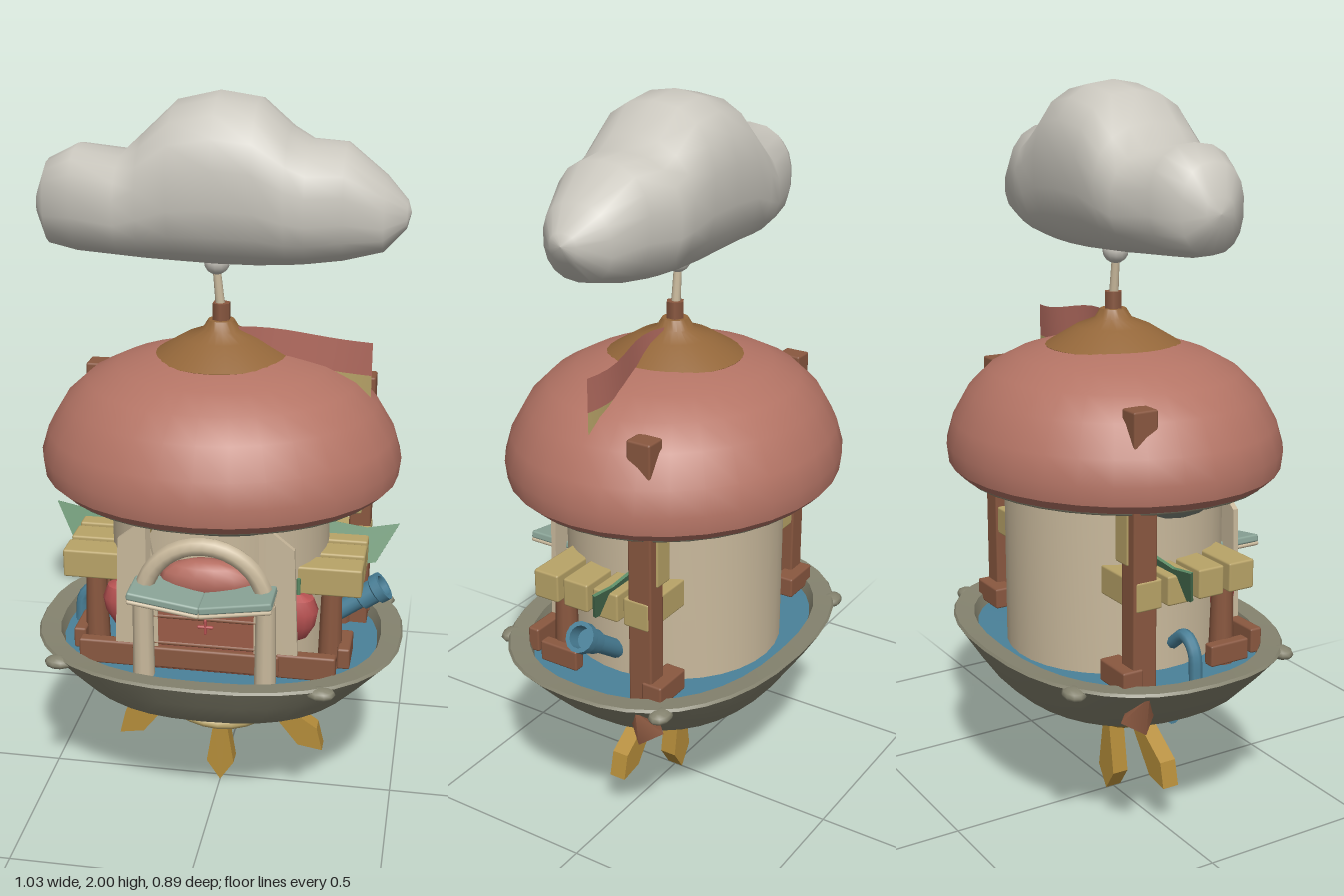
import * as THREE from 'three';
import { toCreasedNormals } from 'three/addons/utils/BufferGeometryUtils.js';
import { RoundedBoxGeometry } from 'three/addons/geometries/RoundedBoxGeometry.js';

const mat = (color, opts = {}) => new THREE.MeshStandardMaterial({ color, ...opts });
const M = {
  roof: mat(0xb47465), cap: mat(0x94673a), wood: mat(0x8a5840), tan: mat(0xb9a468),
  beige: mat(0xc9b99c, { side: THREE.DoubleSide }), hull: mat(0x85836f), dome: mat(0x80877c),
  cloud: mat(0xcac7be), gold: mat(0xb58d3a), blue: mat(0x4a8199), red: mat(0xb85252),
  door: mat(0x9c5c48), slate: mat(0x8ba598), green: mat(0x5c8c66, { side: THREE.DoubleSide }),
  cloth: mat(0xb46c60, { side: THREE.DoubleSide }), trim: mat(0xb9a468, { side: THREE.DoubleSide }),
};

// Skin a list of equal-length closed rings of points.
function loft(rings, crease) {
  const n = rings[0].length, idx = [];
  for (let i = 0; i < rings.length - 1; i++)
    for (let j = 0; j < n; j++) {
      const a = i * n + j, b = i * n + (j + 1) % n;
      idx.push(a, a + n, b, b, a + n, b + n);
    }
  const g = new THREE.BufferGeometry();
  g.setAttribute('position', new THREE.Float32BufferAttribute(rings.flat(2), 3));
  g.setIndex(idx);
  g.computeVertexNormals();
  return crease ? toCreasedNormals(g, crease) : g;
}

// Superellipse ring: calls fn(c, s) around the loop.
function ring(n, power, fn) {
  return Array.from({ length: n }, (_, i) => {
    const t = i / n * Math.PI * 2, c = Math.cos(t), s = Math.sin(t);
    return fn(Math.sign(c) * Math.abs(c) ** power, Math.sign(s) * Math.abs(s) ** power);
  });
}

function lathe(points, segments = 28, start = 0, length = Math.PI * 2) {
  const g = new THREE.LatheGeometry(points.map(p => new THREE.Vector2(...p)), segments, start, length);
  return toCreasedNormals(g, 0.7);
}

function plate(points, depth) {
  const shape = new THREE.Shape(points.map(p => new THREE.Vector2(...p)));
  return new THREE.ExtrudeGeometry(shape, { depth, bevelEnabled: false }).translate(0, 0, -depth / 2);
}

export function createModel() {
  const model = new THREE.Group();
  function add(name, geometry, material, x = 0, y = 0, z = 0, parent = model) {
    const m = new THREE.Mesh(geometry, material);
    m.name = name;
    m.position.set(x, y, z);
    parent.add(m);
    return m;
  }
  const box = (w, h, d) => new RoundedBoxGeometry(w, h, d, 1, 0.006);
  const cyl = (r1, r2, h, n = 10) => new THREE.CylinderGeometry(r1, r2, h, n);
  const ball = (r, w = 12, h = 8) => new THREE.SphereGeometry(r, w, h);

  // Cloud: sections along x as [x, bottom, top, half depth]
  const sections = [
    [-0.485, 1.70, 1.70, 0], [-0.48, 1.67, 1.74, 0.04], [-0.45, 1.6, 1.82, 0.09], [-0.37, 1.585, 1.86, 0.13],
    [-0.25, 1.58, 1.845, 0.165], [-0.19, 1.575, 1.9, 0.175], [-0.11, 1.57, 1.975, 0.183], [0, 1.565, 2, 0.186],
    [0.1, 1.565, 1.985, 0.183], [0.18, 1.57, 1.915, 0.175], [0.23, 1.575, 1.885, 0.17], [0.32, 1.585, 1.88, 0.14],
    [0.42, 1.61, 1.8, 0.1], [0.475, 1.67, 1.74, 0.04], [0.485, 1.71, 1.71, 0]];
  add('cloud', loft(sections.map(([x, b, t, d]) =>
    ring(18, 0.85, (c, s) => [x, (b + t) / 2 + c * (t - b) / 2, -s * d]))), M.cloud);
  const stem = add('cloudStem', cyl(0.01, 0.013, 0.14), M.beige, -0.008, 1.5, 0);
  stem.rotation.z = 0.1;
  add('stemBall', ball(0.035), M.cloud, -0.012, 1.565, 0);

  // Roof
  const roof = add('roof', lathe([[0.2, 1.0], [0.38, 0.985], [0.455, 0.975], [0.482, 1.0], [0.488, 1.05],
    [0.468, 1.115], [0.42, 1.195], [0.36, 1.25], [0.28, 1.29], [0.18, 1.32], [0, 1.33]], 32), M.roof);
  roof.scale.z = 0.912;
  const rim = add('roofRim', new THREE.TorusGeometry(0.44, 0.012, 6, 36).rotateX(Math.PI / 2), M.hull, 0, 0.978, 0);
  rim.scale.z = 0.91;
  add('roofCap', lathe([[0, 1.3], [0.18, 1.3], [0.183, 1.315], [0.1, 1.365], [0.05, 1.385], [0.035, 1.41], [0, 1.41]]), M.cap);
  add('finial', cyl(0.025, 0.025, 0.1, 6), M.wood, 0, 1.405, 0);

  // Two-stripe pennant, waving slightly in z
  function stripe(name, lower, upper, material) {
    const g = new THREE.PlaneGeometry(1, 1, 10, 1), p = g.attributes.position;
    for (let i = 0; i < p.count; i++) {
      const u = p.getX(i) + 0.5, v = p.getY(i) + 0.5;
      const sag = 0.025 * u * u - 0.008 * Math.sin(u * 6);
      p.setXYZ(i, 0.02 + 0.38 * u, lower + (upper - lower) * v - sag, 0.012 * Math.sin(u * 6));
    }
    g.computeVertexNormals();
    add(name, g, material);
  }
  stripe('pennantTop', 1.3, 1.39, M.cloth);
  stripe('pennantBottom', 1.22, 1.3, M.trim);

  // Round house with an open front, and the bowl hanging under the roof
  add('houseWall', lathe([[0.3, 0.48], [0.3, 1.0]], 28, 0.5, Math.PI * 2 - 1), M.beige);
  add('ceilingBowl', ball(1, 24, 16).scale(0.37, 0.17, 0.25), M.dome, 0, 1.0, 0.03);
  for (const s of [-1, 1]) {
    const flap = add('frontFlap', plate([[0.13, 0.5], [0.13, 0.76], [0.16, 0.93], [0.235, 0.87], [0.25, 0.5]]
      .map(([x, y]) => [s * x, y]), 0.015), M.beige, 0, 0, 0.245);
    flap.rotation.y = 0;
  }
  add('door', box(0.34, 0.24, 0.03), M.door, 0, 0.61, 0.235);
  for (const y of [0.57, 0.65, 0.72]) add('doorPlank', box(0.345, 0.012, 0.036), M.wood, 0, y, 0.235);
  add('doorCrossBar', box(0.045, 0.008, 0.01), M.red, 0, 0.63, 0.255);
  add('doorCrossPost', box(0.008, 0.045, 0.01), M.red, 0, 0.63, 0.255);
  const cushion = add('counterCushion', ball(1, 14, 8).scale(0.13, 0.06, 0.05), M.red, 0, 0.755, 0.22);
  cushion.material = M.cloth;

  // Front arch and folded counter top
  add('arch', new THREE.TorusGeometry(0.165, 0.025, 8, 18, Math.PI), M.beige, 0, 0.71, 0.275);
  for (const s of [-1, 1]) {
    add('archPost', cyl(0.027, 0.03, 0.24), M.beige, s * 0.165, 0.6, 0.275);
    const leaf = add('counterLeaf', box(0.195, 0.022, 0.14), M.slate, s * 0.095, 0.742, 0.29);
    leaf.rotation.z = s * 0.15;
    const edge = add('counterEdge', box(0.195, 0.012, 0.145), M.beige, s * 0.095, 0.726, 0.29);
    edge.rotation.z = s * 0.15;
  }

  // Boat hull: levels [half width, half depth, height], from keel over the rim to the floor
  const levels = [[0, 0, 0.37], [0.37, 0.305, 0.37], [0.39, 0.32, 0.385], [0.455, 0.365, 0.45], [0.515, 0.405, 0.515],
    [0.51, 0.4, 0.522], [0.455, 0.35, 0.518], [0.44, 0.335, 0.47], [0, 0, 0.47]];
  add('hull', loft(levels.map(([a, b, y]) => ring(36, 0.84, (c, s) => [a * c, y, b * s])), 0.6), M.hull);
  add('water', loft([[0.45, 0.345, 0.485], [0, 0, 0.495]].map(([a, b, y]) =>
    ring(36, 0.84, (c, s) => [a * c, y, b * s]))), M.blue);
  for (const [x, z] of [[0.32, 0.335], [-0.4, 0.285], [-0.34, -0.325], [0.44, -0.24]])
    add('rimStone', ball(1, 10, 6).scale(0.04, 0.018, 0.03), M.hull, x, 0.505, z);

  // Side stalls, mirrored
  for (const s of [-1, 1]) {
    const stall = new THREE.Group();
    stall.name = s > 0 ? 'leftStall' : 'rightStall';
    model.add(stall);
    const put = (name, g, m, x, y, z) => add(name, g, m, s * x, y, z, stall);
    for (let i = 0; i < 4; i++) put('shelfPlank', box(0.175, 0.08, 0.078), M.tan, 0.32, 0.752, 0.143 - i * 0.0953);
    for (const z of [0.14, -0.13]) put('shelfPost', cyl(0.028, 0.035, 0.24), M.wood, 0.325, 0.6, z);
    put('tallPost', box(0.06, 0.76, 0.07), M.wood, 0.375, 0.85, -0.153);
    put('postBlock', box(0.06, 0.14, 0.085), M.tan, 0.35, 0.9, -0.15);
    const foot = put('postFoot', new THREE.ConeGeometry(0.05, 0.1, 4), M.wood, 0.44, 0.47, -0.18);
    foot.rotation.z = s * -0.6;
    put('frontFence', box(0.16, 0.07, 0.035), M.wood, 0.27, 0.53, 0.24);
    put('sideFence', box(0.035, 0.06, 0.12), M.wood, 0.365, 0.53, 0.13);
    put('backFence', box(0.12, 0.06, 0.06), M.wood, 0.35, 0.53, -0.19);

    // Leaf-like awning
    const leaf = put('greenLeaf', plate([[0.28, 0.83], [0.4, 0.815], [0.49, 0.832], [0.43, 0.72], [0.33, 0.7]]
      .map(([x, y]) => [s * (x - 0.38), y - 0.76]), 0.008), M.green, 0.38, 0.76, -0.045);
    leaf.rotation.x = -0.4;

    // Hanging fruit
    const fruit = put('fruit', lathe([[0, -0.075], [0.025, -0.06], [0.048, -0.02], [0.055, 0.02], [0.042, 0.055],
      [0.015, 0.068], [0, 0.062]], 14), M.red, 0.24, 0.65, 0.185);
    fruit.scale.z = 0.85;
    put('fruitStalk', cyl(0.006, 0.006, 0.05, 6), M.green, 0.24, 0.735, 0.185);
  }
  add('fenceRail', box(0.4, 0.06, 0.035), M.wood, 0, 0.53, 0.245);

  // Spyglass on the left side and a curved pipe on the right
  const spyglass = add('spyglass', lathe([[0, -0.1], [0.026, -0.1], [0.026, 0.02], [0.034, 0.025], [0.034, 0.07],
    [0.042, 0.075], [0.042, 0.1], [0.03, 0.1], [0.028, 0.06], [0, 0.06]], 14), M.blue, 0.375, 0.61, 0);
  spyglass.rotation.z = -0.95;
  const bend = new THREE.CatmullRomCurve3([[-0.3, 0.56, 0], [-0.36, 0.6, 0], [-0.4, 0.57, 0], [-0.41, 0.49, 0]]
    .map(p => new THREE.Vector3(...p)));
  add('pipe', new THREE.TubeGeometry(bend, 12, 0.018, 8), M.blue);

  // Engine under the hull: gold drum, blue tank, ring and paddles
  add('drum', ball(1, 20, 14).scale(0.205, 0.215, 0.12), M.gold, 0, 0.42, 0);
  add('tank', new RoundedBoxGeometry(0.26, 0.13, 0.3, 2, 0.025), M.blue, 0, 0.345, 0);
  add('exhaust', cyl(0.022, 0.022, 0.12).rotateZ(Math.PI / 2), M.blue, -0.25, 0.35, 0);
  add('engineRing', new THREE.TorusGeometry(0.21, 0.014, 8, 32), M.tan, 0, 0.42, 0.055);
  const paddle = plate([[-0.018, -0.1], [-0.018, -0.21], [-0.04, -0.35], [0, -0.41], [0.04, -0.35], [0.018, -0.21], [0.018, -0.1]], 0.048);
  for (const a of [-0.82, 0, 0.82]) add('paddle', paddle, M.gold, 0, 0.415, 0).rotation.z = a;

  return model;
}
